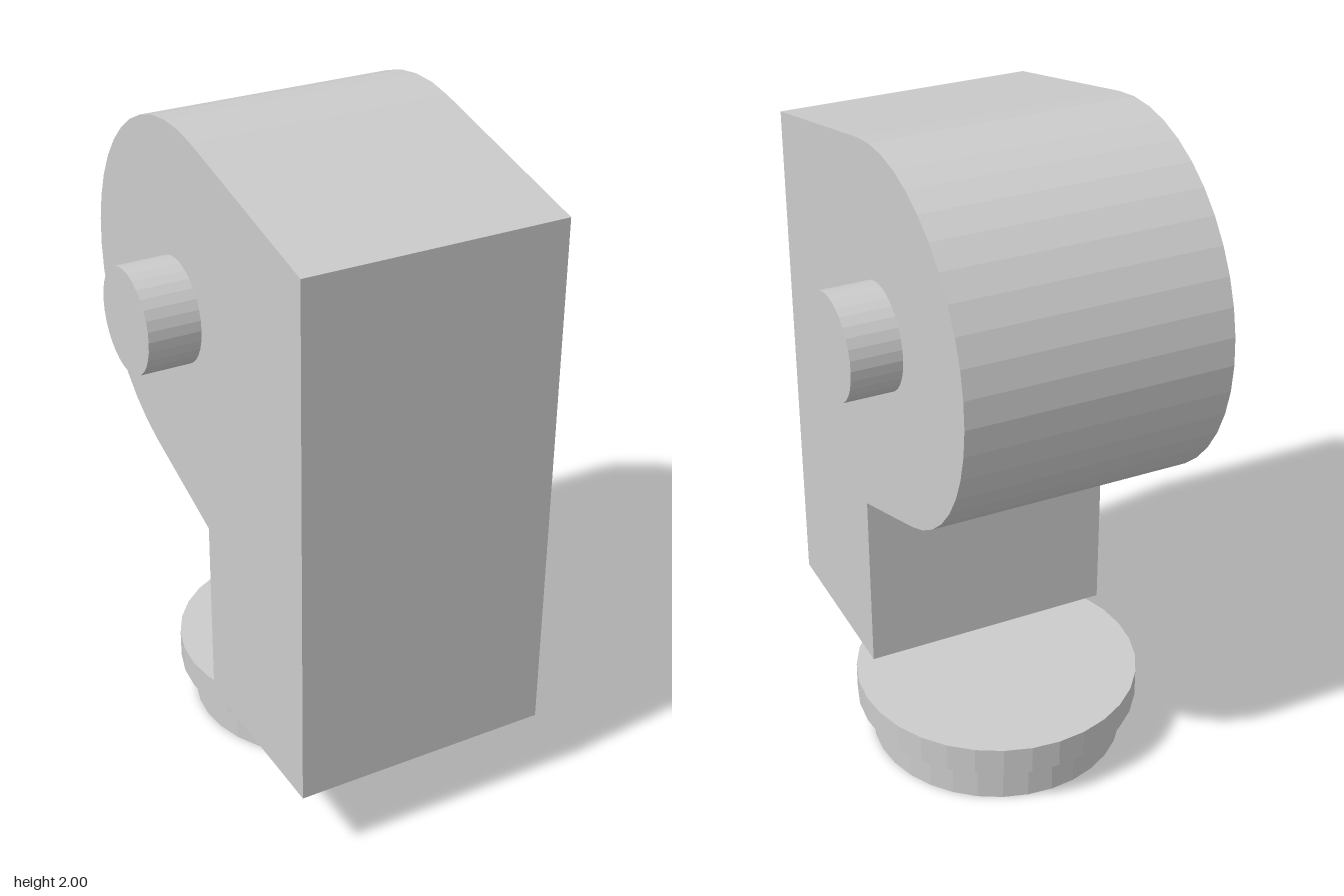
import * as THREE from 'three';

const material = new THREE.MeshStandardMaterial({ color: 0xcccccc, flatShading: true });

function addMesh(group, name, geometry, x, y, z) {
  const mesh = new THREE.Mesh(geometry, material);
  mesh.name = name;
  mesh.position.set(x, y, z);
  group.add(mesh);
  return mesh;
}

// Angle at which a line from (z, y) touches the circle; side picks one of the two tangents.
function tangentAngle(z, y, cz, cy, r, side) {
  const dz = z - cz, dy = y - cy;
  return Math.atan2(dy, dz) + side * Math.acos(r / Math.hypot(dz, dy));
}

export function createModel() {
  const group = new THREE.Group();
  group.name = 'pivotBracket';

  const pivotZ = -0.093, pivotY = 1.452, headRadius = 0.55;
  const front = 0.645, neckBack = 0.068;
  const bottom = 0.225, frontTop = 1.846, neckTop = 0.81;

  // Housing: upright block whose head wraps round the pivot, drawn in side profile
  const profile = new THREE.Shape();
  profile.moveTo(front, bottom);
  profile.lineTo(front, frontTop);
  profile.absarc(pivotZ, pivotY, headRadius,
    tangentAngle(front, frontTop, pivotZ, pivotY, headRadius, 1),
    tangentAngle(neckBack, neckTop, pivotZ, pivotY, headRadius, -1) + 2 * Math.PI, false);
  profile.lineTo(neckBack, neckTop);
  profile.lineTo(neckBack, bottom);
  profile.closePath();
  const width = 0.795;
  const housing = new THREE.ExtrudeGeometry(profile, { depth: width, bevelEnabled: false, curveSegments: 10 });
  housing.translate(0, 0, -width / 2);
  housing.rotateY(-Math.PI / 2);
  addMesh(group, 'housing', housing, 0.002, 0, 0);

  // Pivot pin through the head
  const pin = new THREE.CylinderGeometry(0.157, 0.157, 1.105, 32);
  pin.rotateZ(Math.PI / 2);
  addMesh(group, 'pivotPin', pin, -0.002, pivotY, pivotZ);

  // Stepped round foot
  const footX = 0.049;
  addMesh(group, 'footFlange', new THREE.CylinderGeometry(0.439, 0.439, 0.09, 32), footX, 0.175, pivotZ);
  addMesh(group, 'footBase', new THREE.CylinderGeometry(0.393, 0.393, 0.13, 32), footX, 0.065, pivotZ);

  return group;
}
